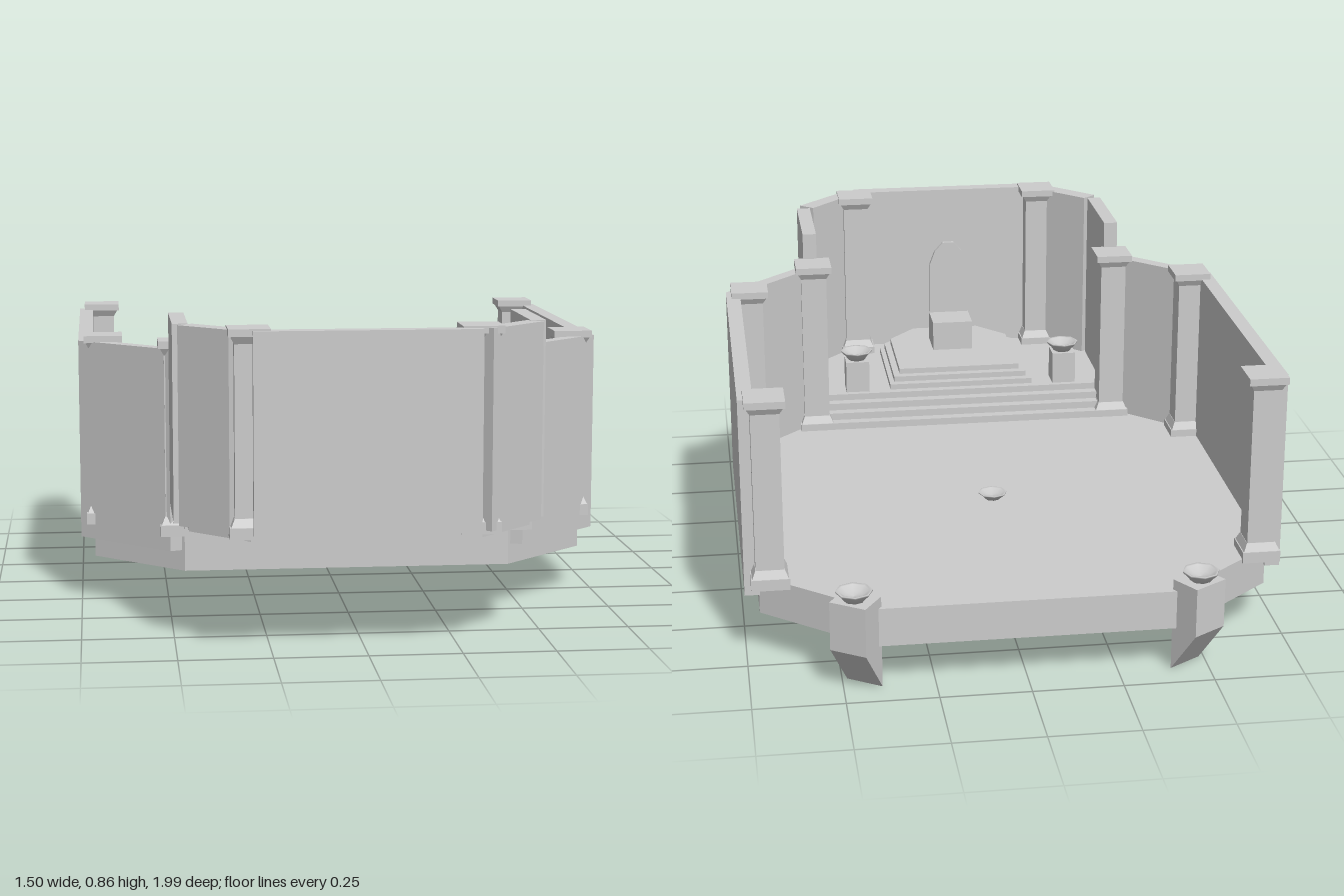
import * as THREE from 'three';

export function createModel() {
  const model = new THREE.Group();
  const mat = new THREE.MeshStandardMaterial({ color: 0xcccccc, flatShading: true });
  const bowlMat = new THREE.MeshStandardMaterial({ color: 0xcccccc, side: THREE.DoubleSide });

  function add(name, geometry, x = 0, y = 0, z = 0, parent = model, material = mat) {
    const mesh = new THREE.Mesh(geometry, material);
    mesh.name = name;
    mesh.position.set(x, y, z);
    parent.add(mesh);
    return mesh;
  }
  // Box given by its two extreme corners
  function block(name, x0, x1, y0, y1, z0, z1, parent = model) {
    return add(name, new THREE.BoxGeometry(x1 - x0, y1 - y0, z1 - z0),
      (x0 + x1) / 2, (y0 + y1) / 2, (z0 + z1) / 2, parent);
  }
  // Vertical prism over an outline of [x, z] points
  function prism(name, outline, y0, y1, s = 1) {
    const shape = new THREE.Shape(outline.map(([x, z]) => new THREE.Vector2(x * s, -z)));
    const g = new THREE.ExtrudeGeometry(shape, { depth: y1 - y0, bevelEnabled: false });
    g.rotateX(-Math.PI / 2);
    return add(name, g, 0, y0, 0);
  }
  // Closed outline mirrored across x = 0 from its +x half
  const symmetric = (half) => [...half, ...half.map(([x, z]) => [-x, z]).reverse()];
  // Square frustum with half widths at bottom and top
  function frustum(name, b, t, y0, y1, parent) {
    const g = new THREE.CylinderGeometry(t * Math.SQRT2, b * Math.SQRT2, y1 - y0, 4);
    g.rotateY(Math.PI / 4);
    return add(name, g, 0, (y0 + y1) / 2, 0, parent);
  }
  function bowl(name, x, y, z, r = 0.05, h = 0.03) {
    const profile = [[0, 0], [0.55, 0], [0.7, 0.35], [1, 0.85], [1, 1], [0.85, 0.95], [0.5, 0.55], [0, 0.4]]
      .map(([a, b]) => new THREE.Vector2(a * r, b * h));
    add(name, new THREE.LatheGeometry(profile, 8), x, y, z, model, bowlMat);
  }
  function pillar(x, z, y0, y1) {
    const p = new THREE.Group();
    p.name = 'pillar';
    p.position.set(x, 0, z);
    model.add(p);
    frustum('pillarPlinth', 0.053, 0.053, y0 - 0.01, y0 + 0.022, p);
    frustum('pillarBase', 0.05, 0.04, y0 + 0.022, y0 + 0.045, p);
    frustum('pillarShaft', 0.039, 0.039, y0 + 0.045, y1 - 0.04, p);
    frustum('pillarCapital', 0.039, 0.05, y1 - 0.04, y1 - 0.02, p);
    frustum('pillarCap', 0.055, 0.055, y1 - 0.02, y1, p);
  }

  // Main hall floor
  prism('mainFloor', symmetric([[0.41, -0.93], [0.71, -0.68], [0.71, 0.25], [0.46, 0.485]]), 0.13, 0.24);
  bowl('floorDish', 0, 0.24, -0.225, 0.042, 0.02);

  // Stairs up to the apse
  for (let i = 0; i < 3; i++) {
    const y = 0.24 + i * 0.0217;
    block('step', -0.46, 0.46, y, y + 0.0217, 0.39 + i * 0.03, 0.505 + i * 0.024);
  }
  // Apse floor and stacked dais
  prism('apseFloor', symmetric([[0.46, 0.48], [0.46, 0.8], [0.305, 0.957]]), 0.305, 0.325);
  [[0.23, 0.505, 0], [0.215, 0.53, 0.01], [0.195, 0.555, 0.022]].forEach(([w, z, inset], i) => {
    const y = 0.325 + i * 0.017;
    prism('daisLayer', symmetric([[w, z], [w, 0.865 - inset * 0.4], [0.145 - inset * 1.7, 0.955]]), y, y + 0.017);
  });

  // Seat with a pointed back
  block('seat', -0.065, 0.065, 0.376, 0.47, 0.725, 0.848);
  const back = new THREE.Shape([[-0.062, 0], [0.062, 0], [0.062, 0.26], [0.045, 0.305], [0.018, 0.335],
    [-0.018, 0.335], [-0.045, 0.305], [-0.062, 0.26]].map(([x, y]) => new THREE.Vector2(x, y)));
  add('seatBack', new THREE.ExtrudeGeometry(back, { depth: 0.014, bevelEnabled: false }), 0, 0.376, 0.838);

  // Corner bracket: side profile sloping inward below
  const bracketShape = new THREE.Shape([[-0.045, 0.003], [0.045, 0.13], [0.045, 0.27], [-0.045, 0.27]]
    .map(([x, y]) => new THREE.Vector2(x, y)));
  const bracketGeo = new THREE.ExtrudeGeometry(bracketShape, { depth: 0.108, bevelEnabled: false });
  bracketGeo.translate(0, 0, -0.054);

  for (const s of [1, -1]) {
    // Hall walls
    block('hallSideWall', s > 0 ? 0.708 : -0.75, s > 0 ? 0.75 : -0.708, 0.188, 0.758, -0.69, 0.25);
    prism('hallCornerWall', [[0.708, 0.235], [0.75, 0.25], [0.5, 0.49], [0.46, 0.475]], 0.188, 0.758, s);
    // Hall pillars
    pillar(s * 0.68, -0.705, 0.24, 0.775);
    pillar(s * 0.68, 0.237, 0.24, 0.775);
    pillar(s * 0.474, 0.442, 0.24, 0.78);
    // Apse side wall
    block('apseSideWall', s > 0 ? 0.458 : -0.5, s > 0 ? 0.5 : -0.458, 0.325, 0.86, 0.49, 0.79);
    // Apse pedestal and bowl
    block('pedestal', s * 0.335 - 0.037, s * 0.335 + 0.037, 0.325, 0.425, 0.498, 0.572);
    bowl('pedestalBowl', s * 0.335, 0.425, 0.535);
    // Rear bracket and bowl
    const bracket = add('rearBracket', bracketGeo, s * 0.465, 0, -0.925);
    bracket.rotation.y = Math.atan2(0.84, s * 0.54);
    bowl('bracketBowl', s * 0.468, 0.268, -0.927);
  }

  // Apse end wall and its angled corner panels
  block('apseEndWall', -0.3, 0.298, 0.325, 0.86, 0.955, 1);
  prism('apseCornerWall', [[0.447, 0.79], [0.487, 0.825], [0.325, 0.985], [0.295, 0.95]], 0.325, 0.86);
  prism('apseCornerWall', [[-0.447, 0.79], [-0.487, 0.825], [-0.36, 0.952], [-0.325, 0.912]], 0.325, 0.86);
  pillar(0.302, 0.917, 0.325, 0.865);
  pillar(-0.308, 0.936, 0.325, 0.865);

  return model;
}
